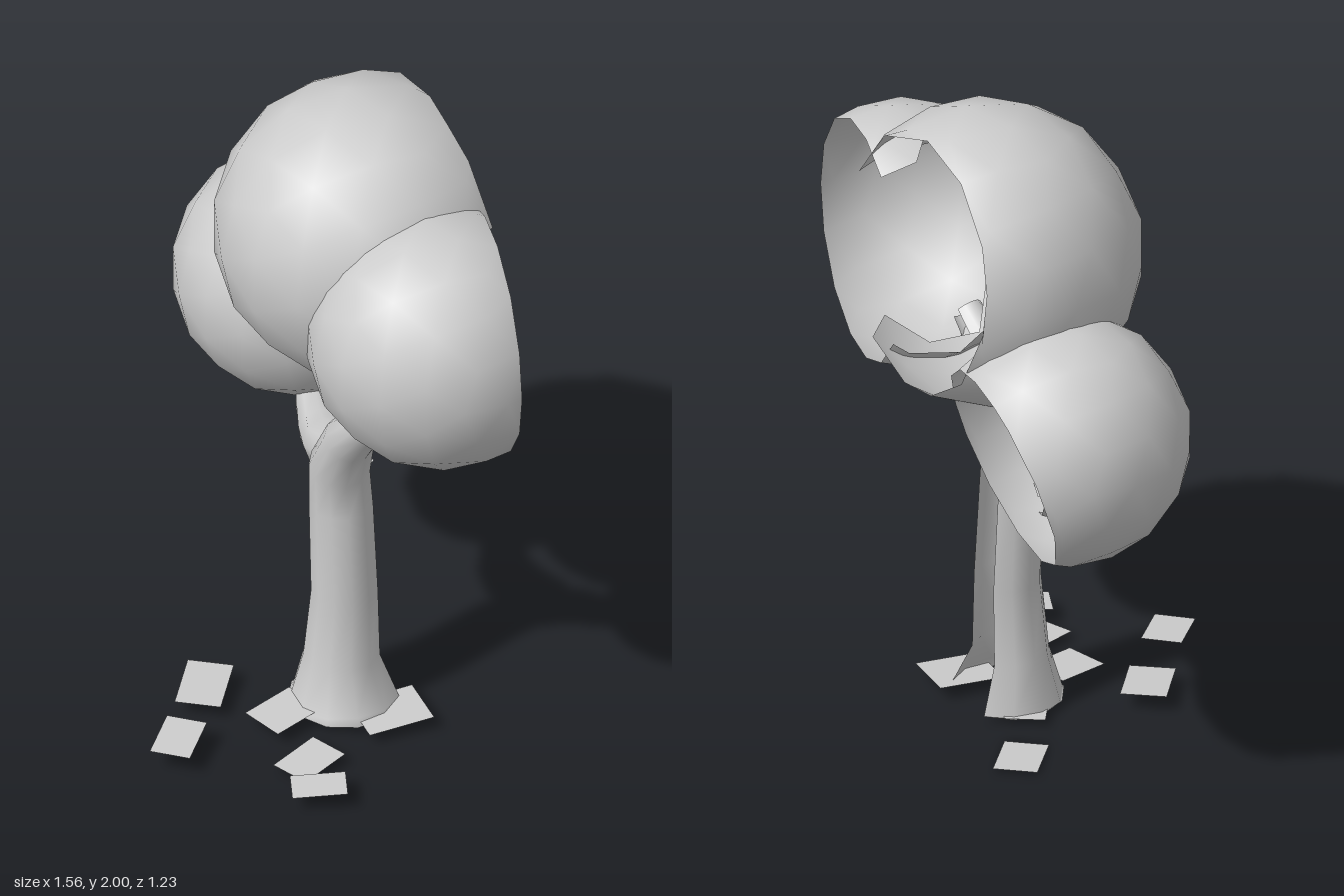
import * as THREE from 'three';

const material = new THREE.MeshStandardMaterial({ color: 0xcccccc, side: THREE.DoubleSide });

function addMesh(group, name, geometry) {
  const mesh = new THREE.Mesh(geometry, material);
  mesh.name = name;
  group.add(mesh);
  return mesh;
}

// Foliage balls: centre, radius, direction of the open back, how far out the cut lies
const crowns = [
  { name: 'centreFoliage', c: [-0.01, 1.555, -0.215], r: 0.45, open: [0.26, 0.1, -0.96], cut: 0.52 },
  { name: 'leftFoliage', c: [0.4, 1.432, -0.125], r: 0.39, open: [0.46, 0, -0.89], cut: 0.38 },
  { name: 'rightFoliage', c: [-0.41, 1.137, -0.315], r: 0.372, open: [0.36, -0.3, -0.88], cut: 0.52 },
].map((b) => ({
  ...b,
  c: new THREE.Vector3(...b.c),
  open: new THREE.Vector3(...b.open).normalize(),
}));

// Pulls a direction that lies beyond the cut back onto its rim
function clampToRim(dir, { open, cut }) {
  const d = dir.dot(open);
  if (d <= cut) return dir;
  return dir.addScaledVector(open, -d).setLength(Math.sqrt(1 - cut * cut)).addScaledVector(open, cut);
}

// Low-poly shell, open at the back and without the faces buried in its neighbours
function crownGeometry(ball) {
  const source = new THREE.IcosahedronGeometry(1, 2).getAttribute('position');
  const positions = [], normals = [];
  for (let i = 0; i < source.count; i += 3) {
    const dirs = [0, 1, 2].map((k) => new THREE.Vector3().fromBufferAttribute(source, i + k));
    if (dirs.every((d) => d.dot(ball.open) > ball.cut)) continue;
    dirs.forEach((d) => clampToRim(d, ball));
    const points = dirs.map((d) => d.clone().multiplyScalar(ball.r).add(ball.c));
    const buried = crowns.some((o) => o !== ball
      && points.every((p) => p.distanceTo(o.c) < o.r * 0.96));
    if (buried) continue;
    points.forEach((p, k) => {
      positions.push(p.x, p.y, p.z);
      normals.push(dirs[k].x, dirs[k].y, dirs[k].z);
    });
  }
  const geometry = new THREE.BufferGeometry();
  geometry.setAttribute('position', new THREE.Float32BufferAttribute(positions, 3));
  geometry.setAttribute('normal', new THREE.Float32BufferAttribute(normals, 3));
  return geometry;
}

// Tapered limb along [x, y, z, radius] stations, with a slot left open behind
function limbGeometry(stations, from, to, sides = 9) {
  const centres = stations.map((s) => new THREE.Vector3(s[0], s[1], s[2]));
  const positions = [], index = [];
  const front = new THREE.Vector3(0, 0, 1);
  centres.forEach((c, i) => {
    const before = centres[Math.max(i - 1, 0)];
    const after = centres[Math.min(i + 1, centres.length - 1)];
    const along = after.clone().sub(before).normalize();
    const side = along.clone().cross(front).normalize();
    const forward = side.clone().cross(along);
    for (let k = 0; k <= sides; k++) {
      const a = THREE.MathUtils.degToRad(from + (to - from) * k / sides);
      const p = c.clone()
        .addScaledVector(side, Math.cos(a) * stations[i][3])
        .addScaledVector(forward, Math.sin(a) * stations[i][3]);
      positions.push(p.x, p.y, p.z);
      if (i && k) {
        const q = i * (sides + 1) + k, below = q - sides - 1;
        index.push(below - 1, below, q - 1, below, q, q - 1);
      }
    }
  });
  // Sides run from the model's left round the front, so the faces are turned outward
  for (let i = 0; i < index.length; i += 3) [index[i + 1], index[i + 2]] = [index[i + 2], index[i + 1]];
  const geometry = new THREE.BufferGeometry();
  geometry.setAttribute('position', new THREE.Float32BufferAttribute(positions, 3));
  geometry.setIndex(index);
  geometry.computeVertexNormals();
  return geometry;
}

export function createModel() {
  const tree = new THREE.Group();
  tree.name = 'tree';

  // Crown
  for (const ball of crowns) addMesh(tree, ball.name, crownGeometry(ball));

  // Trunk, flared at the foot and bending to the left at the top
  addMesh(tree, 'trunk', limbGeometry([
    [0.085, 0.02, -0.04, 0.166],
    [0.085, 0.03, -0.04, 0.161],
    [0.068, 0.17, -0.045, 0.112],
    [0.08, 0.4, -0.045, 0.098],
    [0.06, 0.69, -0.05, 0.094],
    [0.07, 0.84, -0.035, 0.09],
    [0.14, 0.98, -0.01, 0.075],
    [0.24, 1.09, 0.02, 0.058],
    [0.32, 1.155, 0.03, 0.045],
  ], -35, 250));

  // Side branch, reaching into the right-hand foliage
  addMesh(tree, 'branch', limbGeometry([
    [0.08, 0.87, -0.06, 0.085],
    [-0.05, 0.822, -0.1, 0.078],
    [-0.13, 0.808, -0.14, 0.066],
    [-0.22, 0.832, -0.19, 0.05],
    [-0.3, 0.86, -0.26, 0.04],
    [-0.36, 0.92, -0.33, 0.025],
  ], -35, 235, 7));

  // Fallen leaves: x, y, z, width, length, turn
  const leaves = [
    [-0.195, 0.05, 0.25, 0.135, 0.195, 0.64],
    [0.05, 0.045, 0.165, 0.14, 0.17, 0],
    [0.26, 0.03, 0.255, 0.125, 0.17, 0.1],
    [0.395, 0.055, 0.34, 0.11, 0.16, -0.67],
    [-0.035, 0.068, 0.495, 0.12, 0.17, 0.54],
    [0.25, 0.04, -0.07, 0.17, 0.2, -0.35],
    [-0.2, 0.005, -0.275, 0.13, 0.19, 0.6],
    [-0.03, 0.02, -0.08, 0.12, 0.13, 0.7],
  ];
  const litter = new THREE.Group();
  litter.name = 'fallenLeaves';
  for (const [x, y, z, w, l, turn] of leaves) {
    const leaf = addMesh(litter, 'leaf', new THREE.PlaneGeometry(w, l).rotateX(0.05 - Math.PI / 2));
    leaf.position.set(x, y, z);
    leaf.rotation.y = turn;
  }
  tree.add(litter);
  return tree;
}
